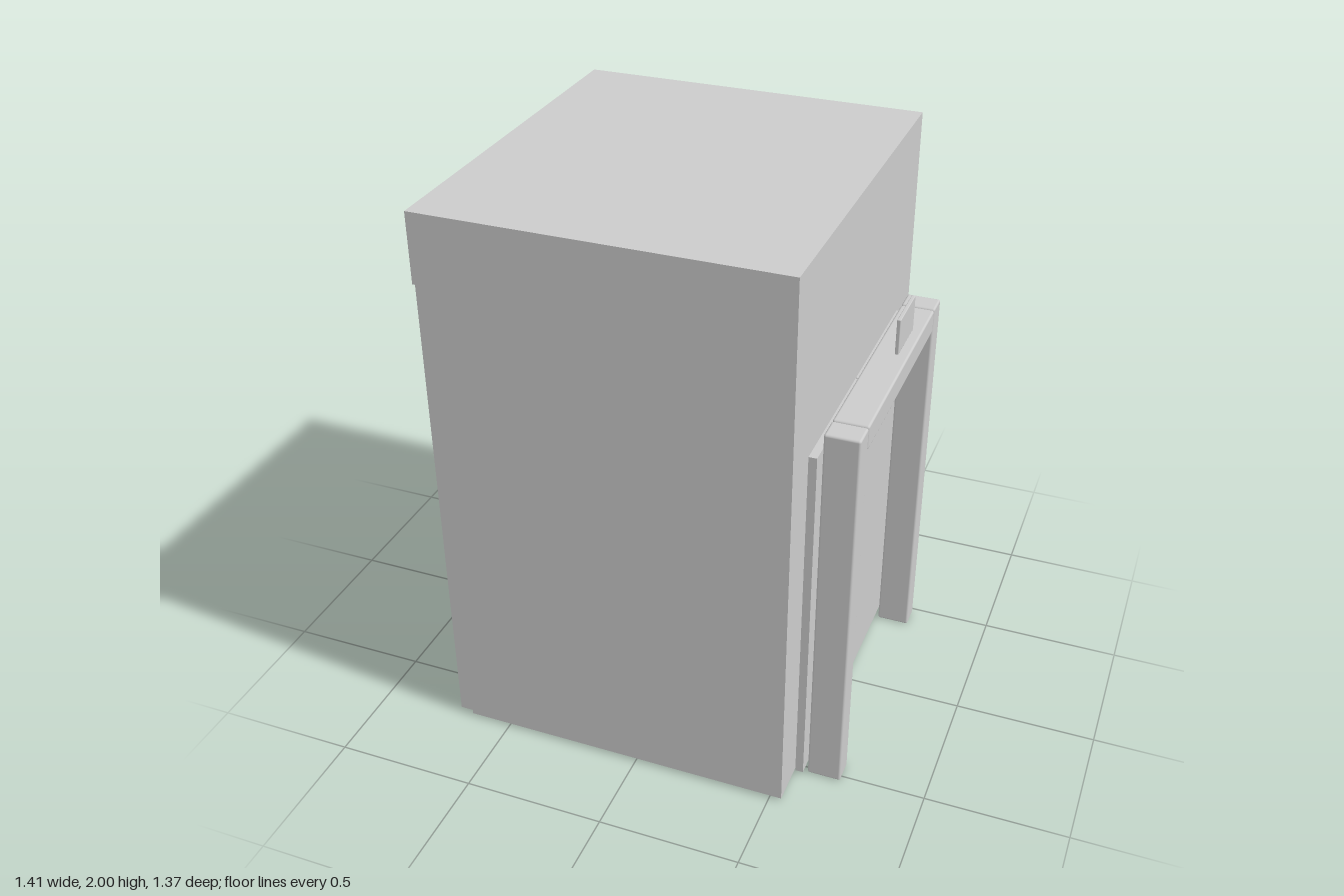
import * as THREE from 'three';
import { RoundedBoxGeometry } from 'three/addons/geometries/RoundedBoxGeometry.js';

const material = new THREE.MeshStandardMaterial({ color: 0xcccccc });

// Box given by its [min, max] range on each axis, optionally with rounded edges
function addBox(group, name, [x0, x1], [y0, y1], [z0, z1], radius = 0) {
  const size = [x1 - x0, y1 - y0, z1 - z0];
  const geometry = radius
    ? new RoundedBoxGeometry(...size, 2, radius)
    : new THREE.BoxGeometry(...size);
  const mesh = new THREE.Mesh(geometry, material);
  mesh.name = name;
  mesh.position.set((x0 + x1) / 2, (y0 + y1) / 2, (z0 + z1) / 2);
  group.add(mesh);
}

export function createModel() {
  const model = new THREE.Group();
  model.name = 'elevator';

  const depth = 0.687;      // half depth of the cabin
  const bottom = 0.01;
  const bandY = 1.755;      // underside of the roof band
  const skin = 0.008;       // cladding thickness
  const gap = 0.002;        // half width of a panel seam

  // Cabin: solid core with an overhanging roof band
  const cabin = new THREE.Group();
  cabin.name = 'cabin';
  addBox(cabin, 'cabinCore', [-0.65, 0.543], [bottom, bandY], [-depth + skin, depth]);
  addBox(cabin, 'roofBand', [-0.705, 0.543], [bandY, 2], [-depth, depth]);

  // Back wall cladding, split by a vertical seam
  for (const x of [[-0.65, -0.256 - gap], [-0.256 + gap, 0.543]]) {
    addBox(cabin, 'backWallPanel', x, [bottom, bandY], [-depth, -depth + skin]);
  }

  // Closed side wall, set in a little at both corners and split by a seam
  const inset = depth - 0.015;
  addBox(cabin, 'sideWallCore', [-0.705 + skin, -0.65], [bottom, bandY], [-inset, inset]);
  for (const z of [[-inset, -0.22 - gap], [-0.22 + gap, inset]]) {
    addBox(cabin, 'sideWallPanel', [-0.705, -0.705 + skin], [bottom, bandY], z);
  }
  model.add(cabin);

  // Pair of sliding doors
  const doors = new THREE.Group();
  doors.name = 'doors';
  for (const z of [[-0.496, 0.021], [0.025, 0.54]]) {
    addBox(doors, 'slidingDoor', [0.546, 0.574], [bottom, 1.322], z);
  }
  model.add(doors);

  // Door surround: two posts and a lintel between them
  const surround = new THREE.Group();
  surround.name = 'doorSurround';
  for (const z of [[-0.483, -0.395], [0.437, 0.525]]) {
    addBox(surround, 'doorPost', [0.586, 0.705], [0, 1.403], z, 0.008);
  }
  addBox(surround, 'lintel', [0.586, 0.705], [1.318, 1.403], [-0.392, 0.434], 0.008);
  model.add(surround);

  // Floor indicator plate above the doors
  addBox(model, 'floorIndicator', [0.692, 0.705], [1.489, 1.614], [-0.071, 0.115], 0.003);

  return model;
}
